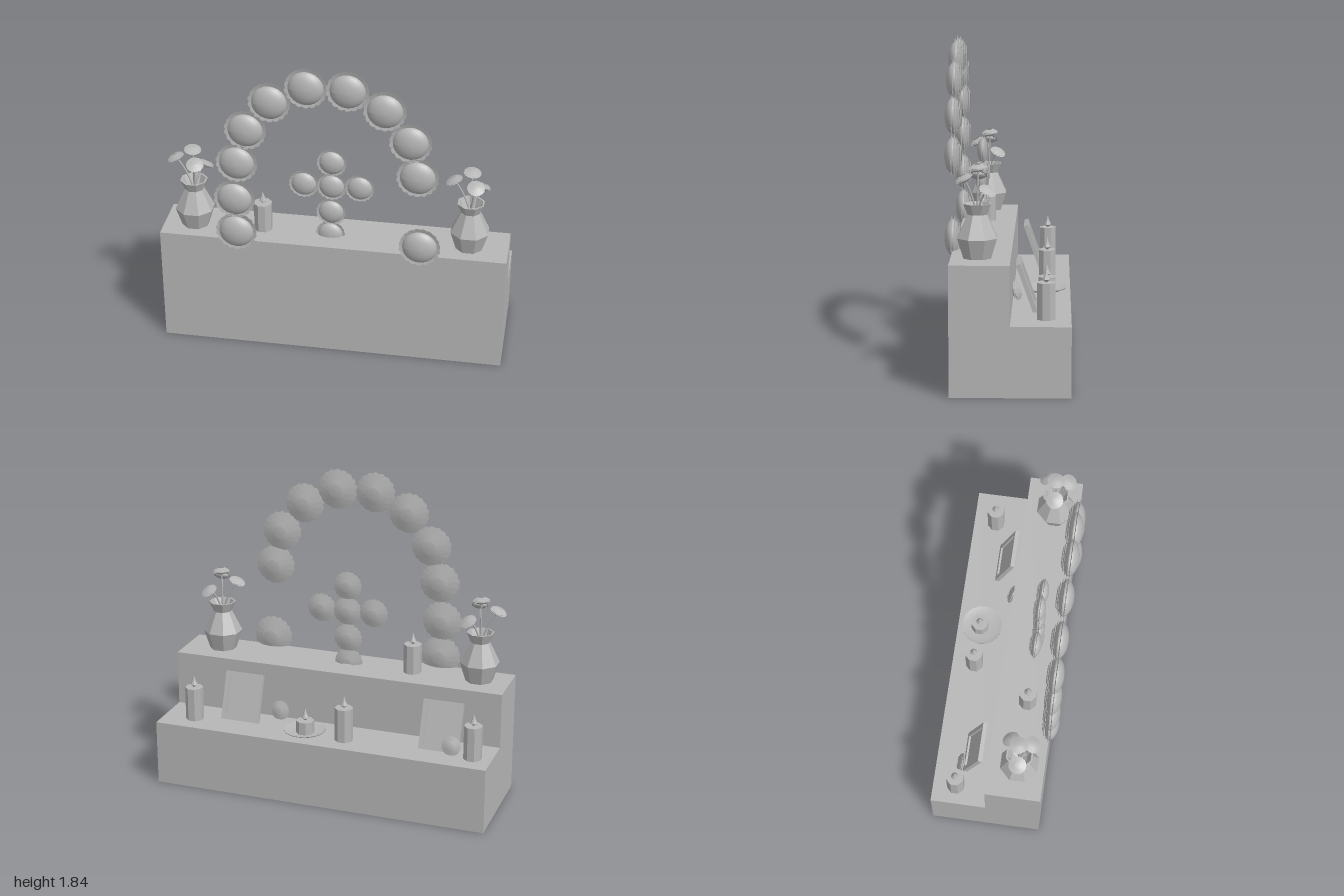
import * as THREE from 'three';
import { mergeGeometries } from 'three/addons/utils/BufferGeometryUtils.js';

const UPPER = 0.71, LOWER = 0.385;

export function createModel() {
  const root = new THREE.Group();
  const grey = new THREE.MeshStandardMaterial({ color: 0xb6b6b6, side: THREE.DoubleSide });
  grey.name = 'stone grey';

  function add(parent, name, geometry, x = 0, y = 0, z = 0) {
    const m = new THREE.Mesh(geometry, grey);
    m.name = name;
    m.position.set(x, y, z);
    parent.add(m);
    return m;
  }
  const group = (name, x = 0, y = 0, z = 0) => {
    const g = new THREE.Group();
    g.name = name;
    g.position.set(x, y, z);
    root.add(g);
    return g;
  };
  // faceted solid of revolution
  function faceted(points, sides, turn = Math.PI / sides) {
    const g = new THREE.LatheGeometry(points.map(p => new THREE.Vector2(...p)), sides, turn).toNonIndexed();
    g.computeVertexNormals();
    return g;
  }

  // stepped base, extruded sideways (profile x is -z)
  const step = new THREE.Shape();
  [[-0.3, 0], [0.347, 0], [0.347, LOWER], [0.022, LOWER], [0.022, UPPER], [-0.3, UPPER]]
    .forEach(([x, y], i) => (i ? step.lineTo(x, y) : step.moveTo(x, y)));
  const base = new THREE.ExtrudeGeometry(step, { depth: 2, bevelEnabled: false });
  base.translate(0, 0, -1).rotateY(Math.PI / 2);
  add(root, 'steppedBase', base);

  // blossom of unit radius: smooth calyx towards +z, layered petals towards -z
  const calyx = new THREE.SphereGeometry(1, 24, 14);
  calyx.rotateX(Math.PI / 2);
  const cp = calyx.attributes.position;
  for (let i = 0; i < cp.count; i++) cp.setZ(i, cp.getZ(i) * (cp.getZ(i) > 0 ? 0.5 : 0.3));
  calyx.computeVertexNormals();
  const petals = [];
  [[1.2, 0.06, 18], [1.17, -0.1, 18], [1.05, -0.22, 16], [0.88, -0.33, 14], [0.7, -0.42, 12]]
    .forEach(([reach, z, count], ring) => {
      for (let i = 0; i < count; i++) {
        const p = new THREE.CircleGeometry(1, 9);
        p.scale(0.22, 0.17 * reach / 1.2 + 0.02, 1);
        p.rotateX(0.25);
        p.translate(0, reach - 0.19, z);
        p.rotateZ((i + (ring % 2) / 2) / count * Math.PI * 2);
        petals.push(p);
      }
    });
  const petalRings = mergeGeometries(petals);

  function blossom(parent, name, x, y, z, r, facing = [0, 0, -1]) {
    const g = new THREE.Group();
    g.name = name;
    g.position.set(x, y, z);
    g.scale.setScalar(r);
    g.quaternion.setFromUnitVectors(new THREE.Vector3(0, 0, -1), new THREE.Vector3(...facing).normalize());
    add(g, 'calyx', calyx);
    add(g, 'petals', petalRings);
    parent.add(g);
  }

  // arch of large blossoms
  const arch = group('blossomArch');
  [[-0.545, 0.77], [-0.55, 0.985], [-0.53, 1.22], [-0.475, 1.433], [-0.337, 1.617], [-0.134, 1.72],
    [0.096, 1.72], [0.3, 1.617], [0.444, 1.433], [0.487, 1.22], [0.508, 0.77]]
    .forEach(([x, y]) => blossom(arch, 'archBlossom', x, y, 0.3, 0.1));

  // cross of smaller blossoms
  const cross = group('blossomCross');
  [[-0.016, 1.187], [-0.016, 1.033], [-0.177, 1.037], [0.144, 1.037], [-0.02, 0.866], [-0.025, 0.716]]
    .forEach(([x, y]) => blossom(cross, 'crossBlossom', x, y, 0.158, 0.072));

  // loose blossoms on the lower step
  blossom(root, 'looseBlossom', 0.335, 0.435, -0.045, 0.05, [0.2, 0.25, -1]);
  blossom(root, 'looseBlossom', -0.76, 0.435, -0.2, 0.048, [0, 0.25, -1]);

  // vases with four flowers each
  const vaseShape = faceted([[0, 0], [0.08, 0], [0.115, 0.11], [0.055, 0.235], [0.08, 0.293], [0.07, 0.293], [0.045, 0.235], [0, 0.2]], 8);
  for (const x of [-0.82, 0.776]) {
    const vase = group('flowerVase', x, UPPER, 0.156);
    add(vase, 'vase', vaseShape);
    [[-0.1, 0.43, 0, [-0.45, 1, 0]], [0, 0.485, -0.005, [0.1, 1, 0.1]],
      [0.028, 0.43, 0.07, [0.1, 1, 0.5]], [0.06, 0.37, -0.058, [0.4, 1, -0.5]]]
      .forEach(([hx, hy, hz, dir]) => {
        const stem = new THREE.QuadraticBezierCurve3(
          new THREE.Vector3(0, 0.2, 0), new THREE.Vector3(hx * 0.25, 0.34, hz * 0.25), new THREE.Vector3(hx, hy, hz));
        add(vase, 'stem', new THREE.TubeGeometry(stem, 8, 0.005, 6));
        blossom(vase, 'flowerHead', hx, hy, hz, 0.042, dir);
      });
  }

  // candles: x, foot, z, height
  const flame = faceted([[0, 0], [0.022, 0.018], [0.012, 0.04], [0, 0.075]], 8);
  [[-0.89, LOWER, -0.212, 0.2], [-0.125, LOWER, -0.212, 0.2], [0.81, LOWER, -0.212, 0.2],
    [0.112, LOWER + 0.008, -0.212, 0.08], [-0.42, UPPER, 0.15, 0.172]]
    .forEach(([x, y, z, h]) => {
      const candle = group('candle', x, y, z);
      add(candle, 'wax', faceted([[0, 0], [0.053, 0], [0.053, h], [0, h]], 8));
      add(candle, 'flame', flame, 0, h - 0.002, 0);
    });

  // shallow plate under the short candle
  const plate = new THREE.LatheGeometry(
    [[0, 0.008], [0.085, 0.008], [0.12, 0.022], [0.12, 0.026], [0.085, 0.013], [0, 0.013]]
      .map(p => new THREE.Vector2(...p)), 32);
  add(root, 'plate', plate, 0.12, LOWER, -0.2);

  // picture frames leaning back against the upper step
  const W = 0.235, H = 0.285, B = 0.026, D = 0.025;
  const rect = (path, x, y, w, h) =>
    path.moveTo(x, y).lineTo(x + w, y).lineTo(x + w, y + h).lineTo(x, y + h).closePath();
  const outline = rect(new THREE.Shape(), -W / 2, 0, W, H);
  outline.holes.push(rect(new THREE.Path(), B - W / 2, B, W - 2 * B, H - 2 * B));
  const border = new THREE.ExtrudeGeometry(outline, { depth: D, bevelEnabled: false });
  const panel = new THREE.BoxGeometry(W - 2 * B, H - 2 * B, 0.008);
  for (const [x, z] of [[-0.68, -0.185], [0.545, -0.165]]) {
    const frame = group('pictureFrame', x, LOWER, z);
    frame.rotation.x = 0.34;
    add(frame, 'frameBorder', border);
    add(frame, 'picturePanel', panel, 0, H / 2, 0.016);
  }
  return root;
}
